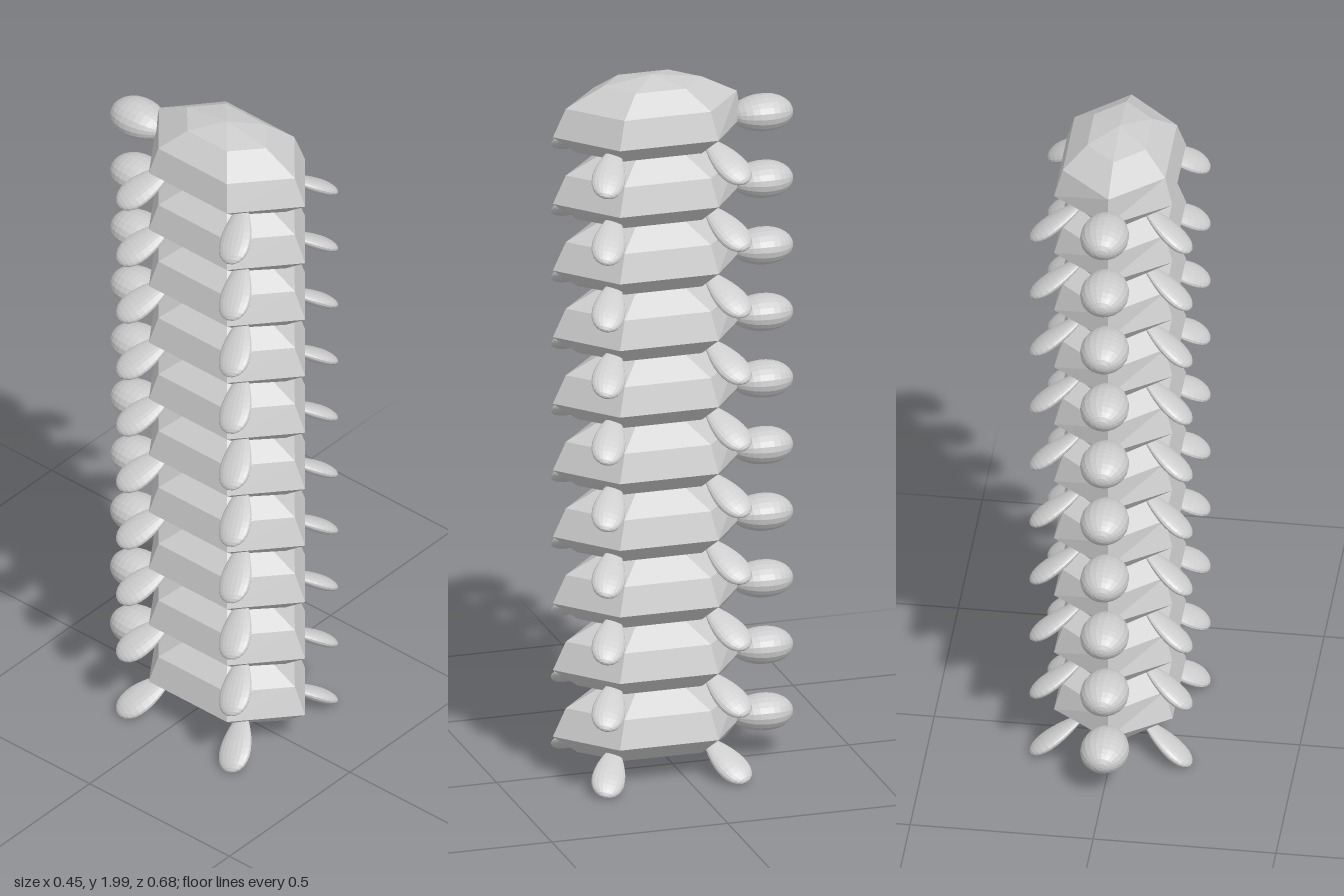
import * as THREE from 'three';

const material = new THREE.MeshStandardMaterial({ color: 0xcccccc, flatShading: true, side: THREE.DoubleSide });

// Six-sided shell lofted through rings: [y, half width, back tip z, back side z, front side z, front tip z]
function shellGeometry() {
  const rings = [
    [0.05, 0, 0.06, 0.06, 0.06, 0.06],
    [0.07, 0.105, 0.27, 0.17, -0.05, -0.15],
    [0.122, 0.162, 0.34, 0.2, -0.08, -0.195],
    [0.2, 0.14, 0.303, 0.18, -0.065, -0.183],
    [0.252, 0.08, 0.2, 0.13, -0.012, -0.083],
    [0.274, 0, 0.06, 0.06, 0.06, 0.06],
  ].map(([y, w, a, b, c, d]) => [[0, y, a], [w, y, b], [w, y, c], [0, y, d], [-w, y, c], [-w, y, b]]);

  const positions = [];
  for (let r = 0; r < rings.length - 1; r++) {
    for (let i = 0; i < 6; i++) {
      const j = (i + 1) % 6;
      const a = rings[r][i], b = rings[r][j], c = rings[r + 1][j], d = rings[r + 1][i];
      if (r > 0) positions.push(...a, ...b, ...c);
      if (r < rings.length - 2) positions.push(...a, ...c, ...d);
      else if (r === 0) positions.push(...a, ...c, ...d);
    }
  }
  const geometry = new THREE.BufferGeometry();
  geometry.setAttribute('position', new THREE.Float32BufferAttribute(positions, 3));
  geometry.computeVertexNormals();
  return geometry;
}

// Egg with its long axis on y; taper widens the +y end
function eggGeometry(taper) {
  const geometry = new THREE.SphereGeometry(1, 20, 14);
  const p = geometry.attributes.position;
  for (let i = 0; i < p.count; i++) {
    const k = 1 + taper * p.getY(i);
    p.setX(i, p.getX(i) * k);
    p.setZ(i, p.getZ(i) * k);
  }
  return geometry;
}

export function createModel() {
  const model = new THREE.Group();
  model.name = 'turtleStack';

  const shell = shellGeometry();
  const headEgg = eggGeometry(0.08).rotateX(-Math.PI / 2).scale(0.066, 0.05, 0.088);
  const flipperEgg = eggGeometry(0.38).rotateZ(-Math.PI / 2).scale(0.09, 0.018, 0.043);

  const add = (parent, geometry, name) => {
    const mesh = new THREE.Mesh(geometry, material);
    mesh.name = name;
    parent.add(mesh);
    return mesh;
  };

  for (let n = 0; n < 10; n++) {
    const turtle = new THREE.Group();
    turtle.name = 'turtle';
    turtle.position.y = n * 0.1918;

    add(turtle, shell, 'shell');
    add(turtle, headEgg, 'head').position.set(0, 0.13, -0.252);

    // Four flat flippers splayed outward and down
    for (const side of [1, -1]) {
      for (const end of [1, -1]) {
        const name = (side > 0 ? 'left' : 'right') + (end > 0 ? 'Front' : 'Rear') + 'Flipper';
        const flipper = add(turtle, flipperEgg, name);
        const yaw = end * 0.42;
        flipper.rotation.order = 'ZYX';
        flipper.rotation.set(0, side > 0 ? yaw : Math.PI - yaw, -side * 0.575);
        flipper.position.set(side * 0.15, 0.058, 0.06 - end * 0.165);
      }
    }
    model.add(turtle);
  }
  return model;
}
